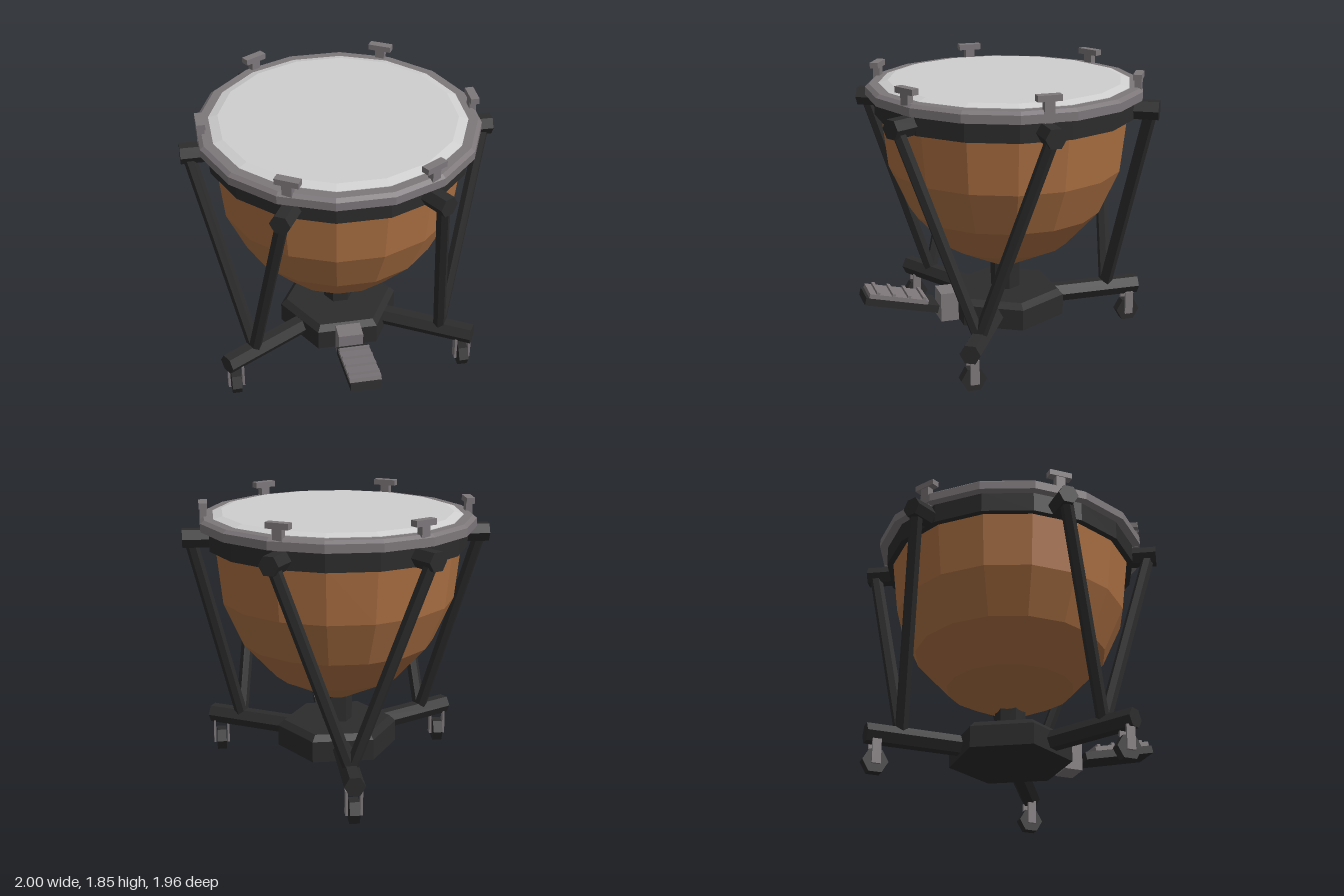
import * as THREE from 'three';

const mat = (name, color) => {
  const m = new THREE.MeshStandardMaterial({ color });
  m.name = name;
  return m;
};

export function createModel() {
  const frame = mat('black frame', 0x2c2c2c);
  const copper = mat('copper', 0xac7043);
  const steel = mat('grey steel', 0x7d777a);
  const skin = mat('drum skin', 0xcfcfcf);
  const model = new THREE.Group();
  model.name = 'kettledrum';

  // Faceted mesh: unshared vertices give one normal per face
  function add(parent, name, geometry, material, x = 0, y = 0, z = 0) {
    const g = geometry.index ? geometry.toNonIndexed() : geometry;
    g.computeVertexNormals();
    const mesh = new THREE.Mesh(g, material);
    mesh.name = name;
    mesh.position.set(x, y, z);
    parent.add(mesh);
    return mesh;
  }
  const box = (w, h, d) => new THREE.BoxGeometry(w, h, d);
  const hex = (r, h, rTop = r) => new THREE.CylinderGeometry(rTop, r, h, 6, 1, false, Math.PI / 6);
  const hexAlongX = (r, from, to) =>
    new THREE.CylinderGeometry(r, r, to - from, 6).rotateZ(Math.PI / 2).translate((from + to) / 2, 0, 0);
  // Sixteen-sided turned part with flats facing the axes
  const lathe = (pts) =>
    new THREE.LatheGeometry(pts.map(([r, y]) => new THREE.Vector2(r, y)), 16, Math.PI / 16);
  const polar = (deg, r, y) => {
    const a = THREE.MathUtils.degToRad(deg);
    return new THREE.Vector3(r * Math.cos(a), y, r * Math.sin(a));
  };
  // Group whose local +x points outward at the given angle
  function radial(name, deg) {
    const g = new THREE.Group();
    g.name = name;
    g.rotation.y = -THREE.MathUtils.degToRad(deg);
    model.add(g);
    return g;
  }

  // Kettle, rim band, hoop and head
  add(model, 'bowl', lathe([[0, 0.525], [0.085, 0.525], [0.42, 0.69], [0.635, 0.925], [0.765, 1.215], [0.805, 1.57]]), copper);
  add(model, 'rimBand', lathe([[0.78, 1.56], [0.845, 1.56], [0.845, 1.7]]), frame);
  add(model, 'hoop', lathe([[0.8, 1.688], [0.9, 1.688], [0.9, 1.742], [0.875, 1.762], [0.8, 1.762]]), steel);
  add(model, 'head', lathe([[0.815, 1.755], [0.815, 1.765], [0.755, 1.782], [0, 1.782]]), skin);

  // Tuning handles and side lugs
  for (let i = 0; i < 6; i++) {
    const g = radial('tuningLug', i * 60);
    add(g, 'tuningRod', box(0.045, 0.14, 0.063), steel, 0.862, 1.755);
    add(g, 'tuningHandle', box(0.055, 0.038, 0.153), steel, 0.862, 1.834);
    add(g, 'lug', hexAlongX(0.067, 0.8, 1.0), frame, 0, 1.618);
  }

  // Hub and centre post
  add(model, 'hub', hex(0.4, 0.14), frame, 0, 0.246);
  add(model, 'hubTop', hex(0.4, 0.039, 0.36), frame, 0, 0.3355);
  add(model, 'post', hex(0.1, 0.22), frame, 0, 0.455);

  // Sloping strut between two points
  function strut(a, b) {
    const d = b.clone().sub(a);
    const m = add(model, 'strut', hex(0.042, d.length()), frame);
    m.position.copy(a).addScaledVector(d, 0.5);
    m.quaternion.setFromUnitVectors(new THREE.Vector3(0, 1, 0), d.normalize());
  }

  // Three arms, each with two struts and a caster
  for (const deg of [30, 150, 270]) {
    add(radial('baseArm', deg), 'arm', hexAlongX(0.067, 0.2, 0.96), frame, 0, 0.256);
    for (const side of [-30, 30]) strut(polar(deg, 0.73, 0.27), polar(deg + side, 0.95, 1.62));
    const caster = new THREE.Group();
    caster.name = 'caster';
    caster.position.copy(polar(deg, 0.895, 0));
    model.add(caster);
    add(caster, 'wheel', hexAlongX(0.083, -0.032, 0.032), frame, 0, 0.074);
    for (const s of [-1, 1]) add(caster, 'fork', box(0.016, 0.16, 0.057), steel, s * 0.047, 0.13);
  }

  // Pedal bracket and tilted pedal
  add(model, 'pedalBracket', box(0.165, 0.195, 0.12), steel, 0, 0.268, 0.41);
  const pedal = new THREE.Group();
  pedal.name = 'pedal';
  pedal.position.set(0, 0.325, 0.735);
  pedal.rotation.x = -0.228;
  model.add(pedal);
  add(pedal, 'pedalBase', box(0.2, 0.052, 0.5), frame);
  add(pedal, 'pedalPlate', box(0.205, 0.03, 0.4), steel, 0, 0.04, 0.03);
  for (let i = 0; i < 4; i++) {
    add(pedal, 'pedalCleat', box(0.2, 0.018, 0.022), steel, 0, 0.062, -0.14 + i * 0.105);
  }
  return model;
}
